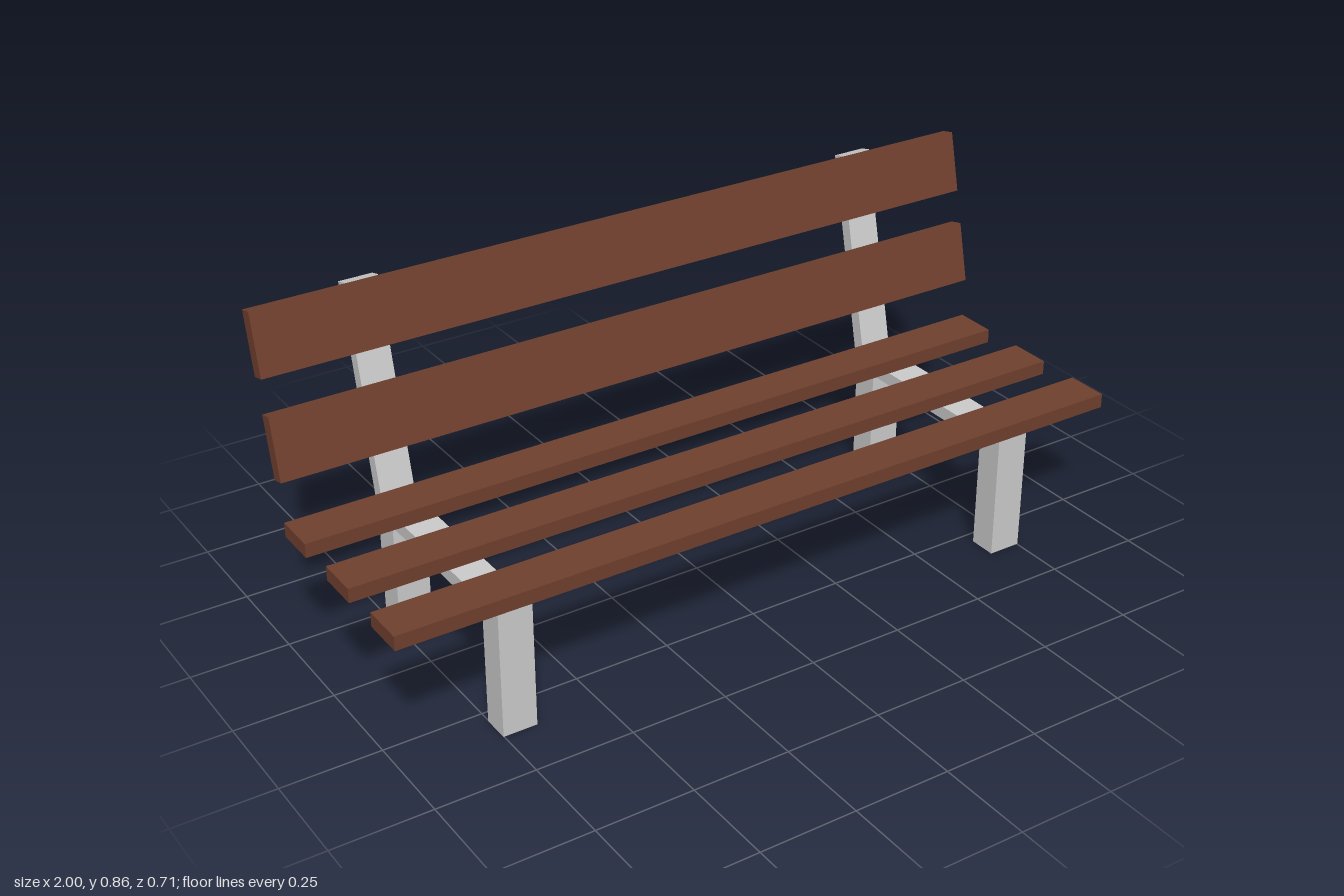
import * as THREE from 'three';

export function createModel() {
  const bench = new THREE.Group();
  bench.name = 'bench';
  const metal = new THREE.MeshStandardMaterial({ color: 0xcccccc });
  const wood = new THREE.MeshStandardMaterial({ color: 0x70402e });

  // Side frame outline as (z, y): front leg, seat rail, back leg and leaning back post
  const outline = [
    [0.355, 0], [0.355, 0.325], [-0.203, 0.325], [-0.325, 0.857], [-0.355, 0.849],
    [-0.23, 0.29], [-0.23, 0], [-0.157, 0], [-0.157, 0.29], [0.283, 0.29], [0.283, 0],
  ];
  const frameWidth = 0.087;
  const shape = new THREE.Shape(outline.map(([z, y]) => new THREE.Vector2(z, y)));
  const frameGeometry = new THREE.ExtrudeGeometry(shape, { depth: frameWidth, bevelEnabled: false });
  frameGeometry.translate(0, 0, -frameWidth / 2).rotateY(-Math.PI / 2);
  for (const [name, x] of [['leftFrame', 0.708], ['rightFrame', -0.708]]) {
    const frame = new THREE.Mesh(frameGeometry, metal);
    frame.name = name;
    frame.position.x = x;
    bench.add(frame);
  }

  function addSlat(name, height, depth, y, z, tilt = 0) {
    const slat = new THREE.Mesh(new THREE.BoxGeometry(2, height, depth), wood);
    slat.name = name;
    slat.position.set(0, y, z);
    slat.rotation.x = tilt;
    bench.add(slat);
  }

  // Seat slats, front to back
  [0.3, 0.0775, -0.146].forEach((z, i) => addSlat(`seatSlat${i + 1}`, 0.037, 0.112, 0.3435, z));

  // Back slats lean with the posts
  addSlat('lowerBackSlat', 0.158, 0.037, 0.541, -0.233, -0.227);
  addSlat('upperBackSlat', 0.158, 0.037, 0.782, -0.289, -0.227);

  return bench;
}
